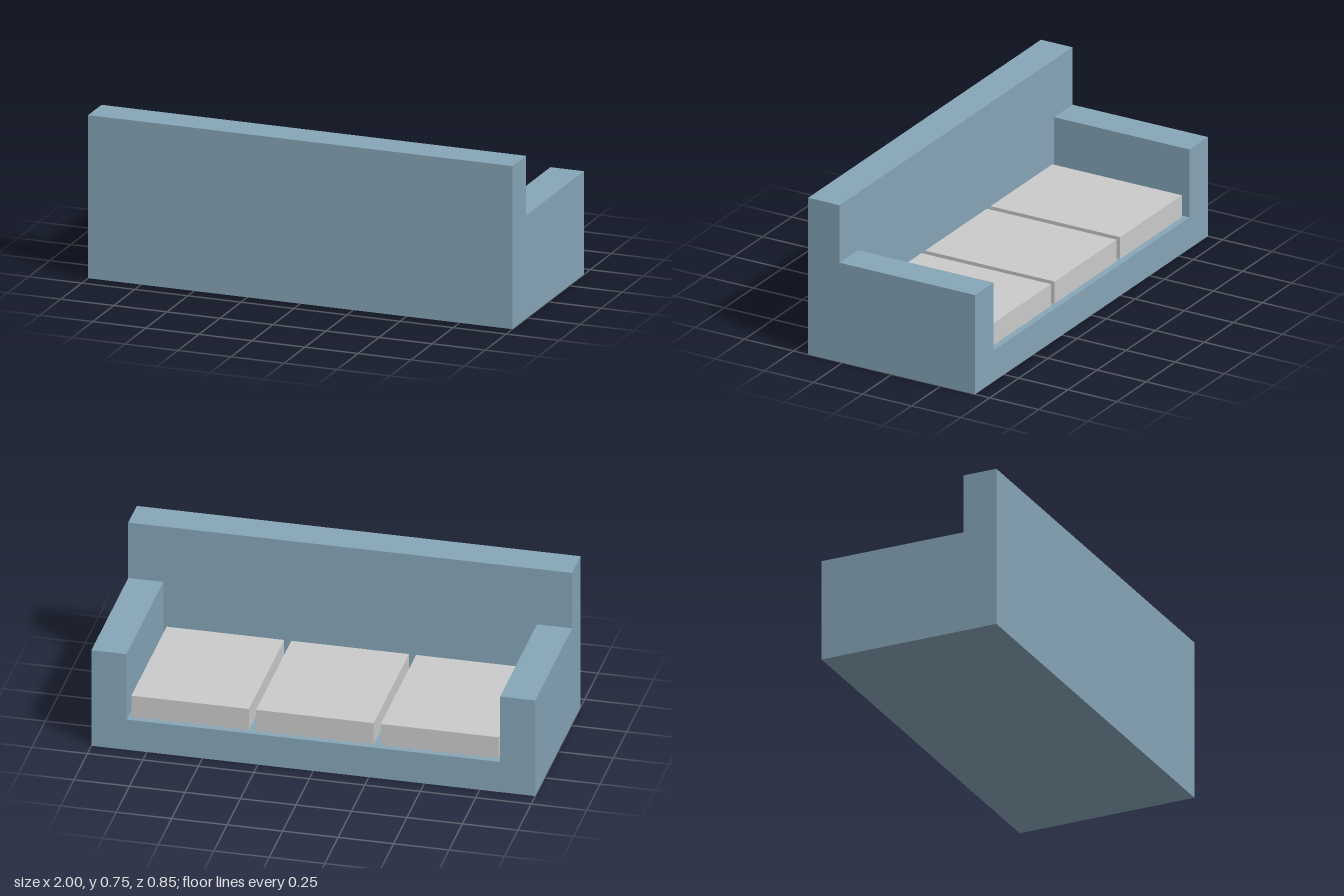
import * as THREE from 'three';

export function createModel() {
  const sofa = new THREE.Group();
  sofa.name = 'sofa';
  const fabric = new THREE.MeshStandardMaterial({ color: 0x87a6b9, flatShading: true });
  const cushionFabric = new THREE.MeshStandardMaterial({ color: 0xcccccc, flatShading: true });

  const add = (name, geometry, material) => {
    const mesh = new THREE.Mesh(geometry, material);
    mesh.name = name;
    sofa.add(mesh);
    return mesh;
  };

  const halfDepth = 0.425, backFace = 0.265;
  const armHeight = 0.475, armInner = 0.842, seatHeight = 0.15, backHeight = 0.75;

  // Seat base and both arms: one U-shaped section run from the open side to the backrest
  const section = new THREE.Shape([
    [-1, 0], [1, 0], [1, armHeight], [armInner, armHeight], [armInner, seatHeight],
    [-armInner, seatHeight], [-armInner, armHeight], [-1, armHeight],
  ].map(([x, y]) => new THREE.Vector2(x, y)));
  const frame = new THREE.ExtrudeGeometry(section, { depth: halfDepth + backFace, bevelEnabled: false });
  add('baseAndArms', frame, fabric).position.z = -halfDepth;

  // Full-width backrest, standing on the ground
  const backDepth = halfDepth - backFace;
  add('backrest', new THREE.BoxGeometry(2, backHeight, backDepth), fabric)
    .position.set(0, backHeight / 2, backFace + backDepth / 2);

  // Three loose seat cushions with narrow gaps
  const width = 0.53, height = 0.105, depth = 0.66, pitch = 0.562;
  ['rightCushion', 'middleCushion', 'leftCushion'].forEach((name, i) => {
    add(name, new THREE.BoxGeometry(width, height, depth), cushionFabric)
      .position.set((i - 1) * pitch, seatHeight + height / 2, backFace - depth / 2);
  });

  return sofa;
}
